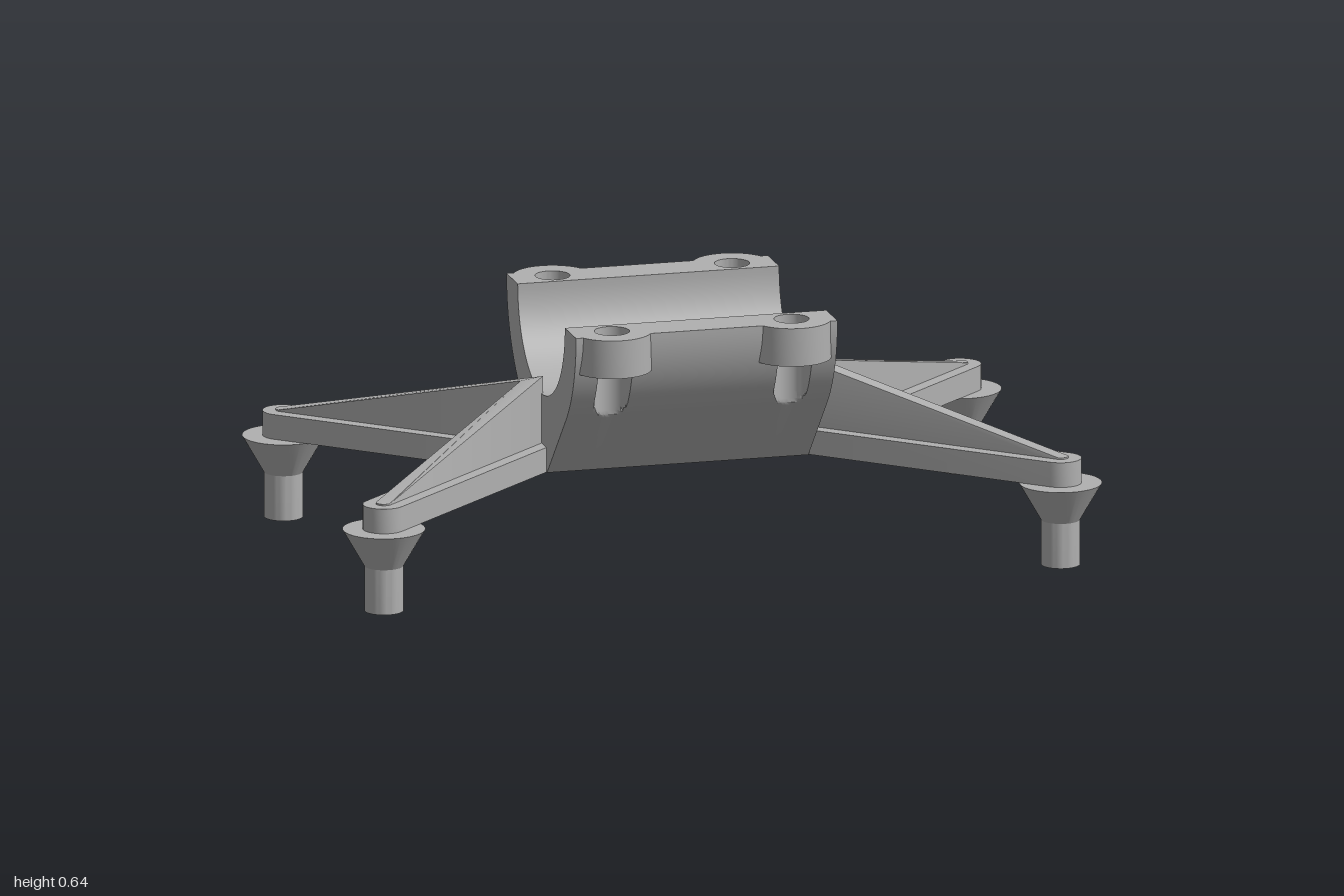
import * as THREE from 'three';
import { toCreasedNormals } from 'three/addons/utils/BufferGeometryUtils.js';

const grey = new THREE.MeshStandardMaterial({ color: 0xb0b0b0 });
grey.name = 'plain grey';

const AXIS_Y = 0.64, BORE = 0.23, OUTER = 0.34, HALF_LEN = 0.345;
const BASE_Y = 0.215, BAR_TOP = 0.28;
const HOLE_X = 0.237, HOLE_Z = 0.29, HOLE_R = 0.045;
const FOOT = { x: 0.893, z: 0.49 }, ARM_START = 0.37;

function add(parent, name, geometry) {
  const mesh = new THREE.Mesh(geometry, grey);
  mesh.name = name;
  parent.add(mesh);
  return mesh;
}

// Footprint given as [x, z] points, raised from y0 to y1
function raise(points, y0, y1, hole) {
  const shape = new THREE.Shape(points.map(([x, z]) => new THREE.Vector2(x, -z)));
  if (hole) shape.holes.push(new THREE.Path().absarc(hole[0], -hole[1], hole[2], 0, Math.PI * 2, true));
  const g = new THREE.ExtrudeGeometry(shape, { depth: y1 - y0, bevelEnabled: false, curveSegments: 24 });
  return g.rotateX(-Math.PI / 2).translate(0, y0, 0);
}

// Cradle cross-section as (z, y); the outer arc is cut by a wall at |z| = wall
function cradleProfile(wall) {
  const pts = [];
  for (let i = 0; i <= 40; i++) {
    const a = Math.PI * i / 40;
    pts.push(new THREE.Vector2(BORE * Math.cos(a), AXIS_Y - BORE * Math.sin(a)));
  }
  const side = [];
  for (let i = 0; i <= 20; i++) {
    const a = Math.PI / 4 * i / 20;
    side.push([Math.min(OUTER * Math.cos(a), wall), AXIS_Y - OUTER * Math.sin(a)]);
  }
  // 45 degree keel below the arc
  const [kz, ky] = side[side.length - 1];
  side.push([kz - (ky - BASE_Y), BASE_Y]);
  for (const [z, y] of side) pts.push(new THREE.Vector2(-z, y));
  for (const [z, y] of side.reverse()) pts.push(new THREE.Vector2(z, y));
  return pts;
}

// Cradle lofted along x, with the screw holes running out through its sides
function cradleGeometry() {
  const sections = [[-HALF_LEN, OUTER]];
  for (const cx of [-HOLE_X, HOLE_X]) {
    sections.push([cx - HOLE_R, OUTER]);
    for (let i = 0; i <= 16; i++) {
      const a = Math.PI * i / 16;
      sections.push([cx - HOLE_R * Math.cos(a), HOLE_Z - HOLE_R * Math.sin(a)]);
    }
    sections.push([cx + HOLE_R, OUTER]);
  }
  sections.push([HALF_LEN, OUTER]);

  const rings = sections.map(([x, wall]) => cradleProfile(wall).map(p => new THREE.Vector3(x, p.y, p.x)));
  const pos = [];
  const ab = new THREE.Vector3(), ac = new THREE.Vector3();
  const tri = (a, b, c) => {
    ab.subVectors(b, a).cross(ac.subVectors(c, a));
    if (ab.length() > 1e-10) for (const p of [a, b, c]) pos.push(p.x, p.y, p.z);
  };
  const n = rings[0].length;
  for (let k = 0; k + 1 < rings.length; k++) {
    for (let i = 0; i < n; i++) {
      const j = (i + 1) % n, p = rings[k], q = rings[k + 1];
      tri(p[i], q[i], p[j]);
      tri(q[i], q[j], p[j]);
    }
  }
  const first = rings[0], last = rings[rings.length - 1];
  for (const [a, b, c] of THREE.ShapeUtils.triangulateShape(cradleProfile(OUTER), [])) {
    tri(first[a], first[b], first[c]);
    tri(last[a], last[c], last[b]);
  }
  const g = new THREE.BufferGeometry();
  g.setAttribute('position', new THREE.Float32BufferAttribute(pos, 3));
  return toCreasedNormals(g, 0.5);
}

// Strip from the cradle end to a foot, mitred on the centre line, rounded at the foot
function armFootprint(half, sx, sz) {
  const dx = FOOT.x - ARM_START, dz = FOOT.z;
  const len = Math.hypot(dx, dz), ux = dx / len, uz = dz / len;
  const zOut = (HALF_LEN - 0.005 - ARM_START) * uz / ux + half / ux;
  const pts = [];
  if (zOut > 0) pts.push([HALF_LEN - 0.005, 0], [HALF_LEN - 0.005, zOut]);
  else pts.push([ARM_START - half / uz, 0]);
  for (let i = 0; i <= 16; i++) {
    const a = Math.PI / 2 - Math.PI * i / 16;
    const c = half * Math.cos(a), s = half * Math.sin(a);
    pts.push([FOOT.x + ux * c - uz * s, FOOT.z + uz * c + ux * s]);
  }
  pts.push([ARM_START + half / uz, 0]);
  return pts.map(([x, z]) => [x * sx, z * sz]);
}

// Upright rib whose top slopes down to the bar at the foot
function ribGeometry(sx, sz) {
  const g = raise(armFootprint(0.02, sx, sz), BAR_TOP - 0.01, 0.45);
  const p = g.attributes.position;
  for (let i = 0; i < p.count; i++) {
    if (p.getY(i) < 0.4) continue;
    const t = ((Math.abs(p.getX(i)) - HALF_LEN) / (FOOT.x - HALF_LEN) + Math.abs(p.getZ(i)) / FOOT.z) / 2;
    p.setY(i, THREE.MathUtils.lerp(0.455, BAR_TOP + 0.004, Math.min(1, Math.max(0, t))));
  }
  return toCreasedNormals(g, 0.6);
}

// Flared foot with a small blind hole in its underside
function footGeometry() {
  const profile = [[0, 0.05], [0.014, 0.05], [0.014, 0], [0.05, 0], [0.05, 0.118], [0.106, BASE_Y], [0, BASE_Y]];
  const g = new THREE.LatheGeometry(profile.map(([r, y]) => new THREE.Vector2(r, y)), 40);
  return toCreasedNormals(g, 0.4);
}

// Rounded screw ear with a through hole
function earGeometry(cx, sz) {
  const r = 0.102, back = 0.05, a0 = -Math.asin(back / r), pts = [];
  for (let i = 0; i <= 32; i++) {
    const a = a0 + (Math.PI - 2 * a0) * i / 32;
    pts.push([cx + r * Math.cos(a), sz * (HOLE_Z + r * Math.sin(a))]);
  }
  return toCreasedNormals(raise(pts, 0.54, AXIS_Y, [cx, sz * HOLE_Z, HOLE_R]), 0.5);
}

export function createModel() {
  const model = new THREE.Group();
  model.name = 'pipeCradleStand';
  add(model, 'cradle', cradleGeometry());
  const foot = footGeometry();
  for (const sx of [1, -1]) {
    for (const sz of [1, -1]) {
      const tag = (sz > 0 ? 'front' : 'back') + (sx > 0 ? 'Left' : 'Right');
      add(model, tag + 'Ear', earGeometry(sx * HOLE_X, sz));
      const leg = new THREE.Group();
      leg.name = tag + 'Leg';
      add(leg, 'armBar', toCreasedNormals(raise(armFootprint(0.054, sx, sz), BASE_Y, BAR_TOP), 0.5));
      add(leg, 'armRib', ribGeometry(sx, sz));
      add(leg, 'foot', foot).position.set(sx * FOOT.x, 0, sz * FOOT.z);
      model.add(leg);
    }
  }
  return model;
}
